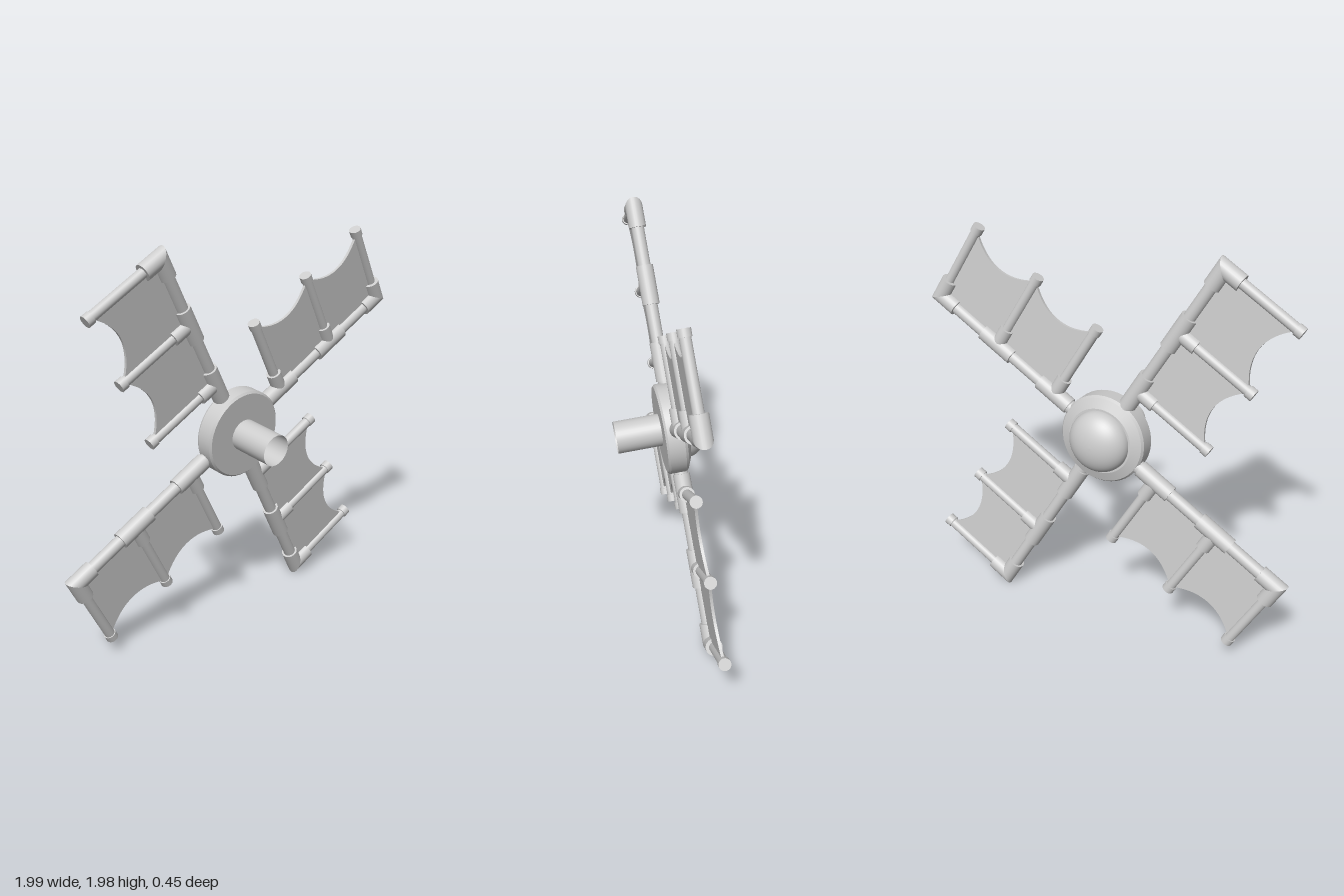
import * as THREE from 'three';

const material = new THREE.MeshStandardMaterial({ color: 0xcccccc });
const doubleSided = new THREE.MeshStandardMaterial({ color: 0xcccccc, side: THREE.DoubleSide });

const RUNGS = [0.325, 0.7, 1.08]; // rung distances from the hub axis
const RUNG_LENGTH = 0.44;
const FITTING = 0.042;            // radius of tees and elbows

function add(parent, name, geometry, mat = material) {
  const mesh = new THREE.Mesh(geometry, mat);
  mesh.name = name;
  parent.add(mesh);
  return mesh;
}

// Cylinder from a to b along the arm, at height v
function pipeAlong(parent, name, r, a, b, v = 0) {
  const g = new THREE.CylinderGeometry(r, r, b - a, 24);
  g.rotateZ(-Math.PI / 2).translate((a + b) / 2, v, 0);
  return add(parent, name, g);
}

// Cylinder from a to b across the arm, at distance u
function pipeAcross(parent, name, r, u, a, b) {
  const g = new THREE.CylinderGeometry(r, r, b - a, 24);
  g.translate(u, (a + b) / 2, 0);
  return add(parent, name, g);
}

// Half of an elbow, with its corner end cut at 45 degrees
function elbowHalf(length, cutAtTop) {
  const g = new THREE.CylinderGeometry(FITTING, FITTING, length, 24);
  g.translate(0, cutAtTop ? -length / 2 : length / 2, 0);
  const p = g.attributes.position;
  for (let i = 0; i < p.count; i++) {
    if (Math.abs(p.getY(i)) < 1e-6) p.setY(i, cutAtTop ? p.getX(i) : -p.getX(i));
  }
  return g;
}

// Thin panel with a scalloped free edge between the rung tips
function sailGeometry() {
  const [u0, u1, u2] = RUNGS;
  const top = RUNG_LENGTH - 0.025, dip = top - 0.17;
  const s = new THREE.Shape();
  s.moveTo(u0, 0);
  s.lineTo(u2, 0);
  s.lineTo(u2, top);
  s.quadraticCurveTo((u1 + u2) / 2, dip, u1, top);
  s.quadraticCurveTo((u0 + u1) / 2, dip, u0, top);
  s.closePath();
  const g = new THREE.ExtrudeGeometry(s, { depth: 0.014, bevelEnabled: false, curveSegments: 20 });
  return g.translate(0, 0, -0.007);
}

function createBlade() {
  const blade = new THREE.Group();
  blade.name = 'blade';
  const end = RUNGS[2];

  // Main spar, thicker where it enters the hub
  pipeAlong(blade, 'spar', 0.031, 0.1, end);
  pipeAlong(blade, 'sparRoot', 0.035, 0.1, RUNGS[0]);

  // Tee fittings
  for (const u of RUNGS.slice(0, 2)) {
    pipeAlong(blade, 'teeSleeve', FITTING, u - 0.095, u + 0.095);
    pipeAcross(blade, 'teeBranch', 0.037, u, 0, 0.105);
  }

  // Elbow at the tip
  const inner = add(blade, 'elbowSparSide', elbowHalf(0.1, true));
  inner.rotation.z = -Math.PI / 2;
  inner.position.x = end;
  add(blade, 'elbowRungSide', elbowHalf(0.1, false)).position.x = end;

  // Rungs with end caps
  for (const u of RUNGS) {
    pipeAcross(blade, 'rung', 0.025, u, 0, RUNG_LENGTH - 0.01);
    pipeAcross(blade, 'rungCap', 0.03, u, RUNG_LENGTH - 0.035, RUNG_LENGTH);
  }

  add(blade, 'sail', sailGeometry());
  return blade;
}

// Lathe around z; straight profile points get their own sharp-edged strips
function latheZ(points) {
  return new THREE.LatheGeometry(points.map(([r, z]) => new THREE.Vector2(r, z)), 48).rotateX(Math.PI / 2);
}

export function createModel() {
  const model = new THREE.Group();
  model.name = 'windmillRotor';
  const rotor = new THREE.Group();
  rotor.name = 'rotor';
  rotor.rotation.x = THREE.MathUtils.degToRad(6.1);
  rotor.position.set(0, 0.997, -0.07);
  model.add(rotor);

  // Hub disc with bevelled rims
  const hub = [[0, -0.055], [0.165, -0.055], [0.213, -0.035], [0.222, -0.022], [0.222, 0.055], [0.212, 0.065], [0, 0.065]];
  const hubGroup = new THREE.Group();
  hubGroup.name = 'hub';
  rotor.add(hubGroup);
  for (let i = 0; i < hub.length - 1; i++) add(hubGroup, 'hubSurface', latheZ([hub[i], hub[i + 1]]));

  // Domed back cap
  const dome = [];
  for (let i = 0; i <= 14; i++) {
    const a = (i / 14) * Math.PI / 2;
    dome.push([0.155 * Math.sin(a), -0.055 - 0.1 * Math.cos(a)]);
  }
  add(rotor, 'dome', latheZ(dome));

  // Open shaft tube at the front
  const shaft = new THREE.CylinderGeometry(0.079, 0.079, 0.225, 36, 1, true);
  shaft.rotateX(Math.PI / 2).translate(0, 0, 0.1725);
  add(rotor, 'shaft', shaft, doubleSided);

  // Four blades
  for (let i = 0; i < 4; i++) {
    const blade = createBlade();
    blade.rotation.z = THREE.MathUtils.degToRad(29.5) + i * Math.PI / 2;
    rotor.add(blade);
  }
  return model;
}
